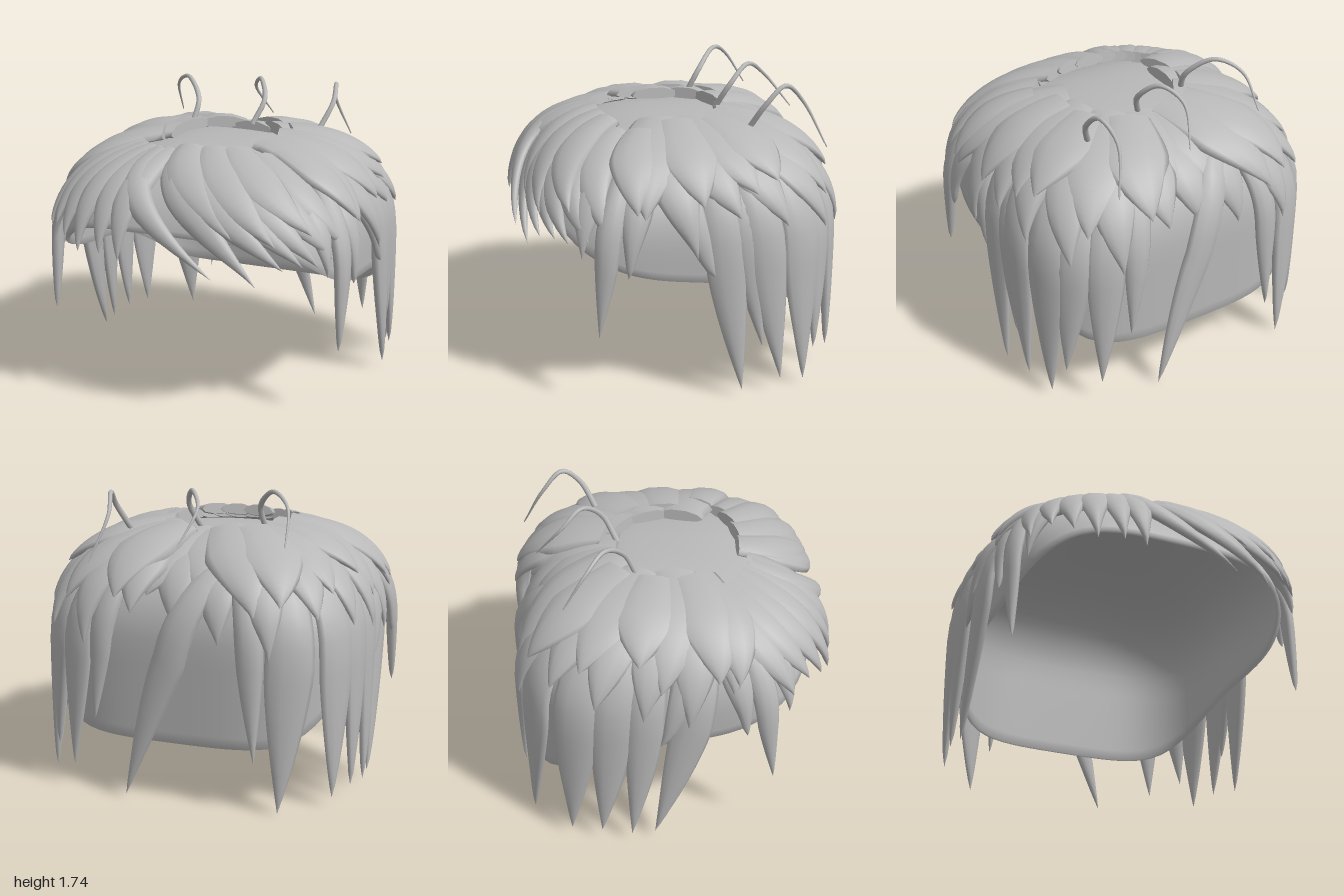
import * as THREE from 'three';

const RAD = Math.PI / 180, MID = 0.85, DOME = 0.61;
const V = (x, y, z) => new THREE.Vector3(x, y, z);

// Head surface: a = degrees around (0 front, 90 = +x), v = 0 crown, 1 widest, >1 straight down
function head(a, v, lift = 0) {
  const s = Math.sin(a * RAD), c = Math.cos(a * RAD);
  const n = 2.3 + 1.2 * Math.min(v, 1); // squarer towards the rim
  const k = Math.pow(Math.abs(s) ** n + Math.abs(c) ** n, -1 / n);
  const phi = Math.min(v, 1) * Math.PI / 2;
  const r = k * Math.pow(Math.sin(phi), 0.8);
  const y = v < 1 ? MID + (DOME + lift) * Math.pow(Math.max(Math.cos(phi), 0), 0.8) : MID - (v - 1);
  return V((0.885 + lift) * r * s, y, (0.86 + lift) * r * c - 0.01);
}
// v at a given height
function vAt(y) {
  if (y < MID) return 1 + MID - y;
  return Math.acos(Math.min(1, Math.pow((y - MID) / DOME, 1.25))) / (Math.PI / 2);
}

// Skin over closed rings of points
function loft(rings) {
  const n = rings[0].length, pos = [], idx = [];
  rings.forEach(ring => ring.forEach(p => pos.push(p.x, p.y, p.z)));
  for (let i = 0; i < rings.length - 1; i++) {
    for (let j = 0; j < n; j++) {
      const a = i * n + j, b = i * n + (j + 1) % n;
      idx.push(a, b, a + n, b, b + n, a + n);
    }
  }
  const g = new THREE.BufferGeometry();
  g.setAttribute('position', new THREE.Float32BufferAttribute(pos, 3));
  g.setIndex(idx);
  g.computeVertexNormals();
  return g;
}

// Thin-walled cap, rim sweeping smoothly from a high brow to a low nape
function capGeometry() {
  const rings = [], rows = 24, cols = 96;
  const ring = (t, lift) => Array.from({ length: cols }, (_, j) => {
    const a = -j * 360 / cols, z = head(a, 1).z;
    const d = 0.115 * z + 0.56 * z ** 3;
    const rim = 0.71 + d / Math.pow(1 + Math.pow(Math.abs(d) / 0.39, 6), 1 / 6);
    return head(a, vAt(rim) * t, lift);
  });
  for (let i = 0; i <= rows; i++) rings.push(ring(i / rows, 0));
  for (let i = rows; i >= 0; i--) rings.push(ring(i / rows, -0.02));
  return loft(rings);
}

// Pointed lock lying on the head: blunt root, lens section, tapering tip
function lockGeometry([a0, a1, v0, tipY, width, lift = 0.04, flare = 0.025, bend = 1.3]) {
  const v1 = vAt(tipY), steps = 18, sides = 10, rings = [];
  const angle = s => a0 + (a1 - a0) * Math.pow(s, bend);
  const at = s => head(angle(s), v0 + (v1 - v0) * s, lift + flare * s);
  for (let i = 0; i <= steps; i++) {
    const s = i / steps, p = at(s), a = angle(s), v = v0 + (v1 - v0) * s;
    const t = at(Math.min(s + 0.01, 1)).sub(at(Math.max(s - 0.01, 0))).normalize();
    const n = head(a, v + 0.01).sub(head(a, v - 0.01)).cross(head(a + 1, v).sub(head(a - 1, v))).normalize();
    if (n.dot(V(p.x, Math.max(p.y - MID, 0), p.z)) < 0) n.negate();
    const side = n.clone().cross(t).normalize();
    const f = s < 0.4 ? 0.75 + 0.25 * Math.sin(s / 0.4 * Math.PI / 2) : 1 - Math.pow((s - 0.4) / 0.6, 1.4);
    const w = width * f, h = 0.04 * Math.sqrt(Math.max(f, 0));
    const ring = Array.from({ length: sides }, (_, j) => {
      const q = j / sides * Math.PI * 2, c = Math.cos(q);
      return p.clone().addScaledVector(side, w * c)
        .addScaledVector(n, h * Math.sin(q) - 0.6 * (w * c) ** 2);
    });
    if (i === 0) rings.push(ring.map(() => p.clone()), ring.map(r => r.clone()));
    rings.push(ring);
  }
  return loft(rings);
}

// Thin curling hair, tapering from root to tip
function curlGeometry(points) {
  const curve = new THREE.CatmullRomCurve3(points.map(p => V(...p)));
  const steps = 32, rings = [], frames = curve.computeFrenetFrames(steps);
  for (let i = 0; i <= steps; i++) {
    const p = curve.getPointAt(i / steps), r = 0.018 * (1 - 0.8 * (i / steps) ** 1.5);
    rings.push(Array.from({ length: 8 }, (_, j) => p.clone()
      .addScaledVector(frames.normals[i], r * Math.cos(j * Math.PI / 4))
      .addScaledVector(frames.binormals[i], r * Math.sin(j * Math.PI / 4))));
  }
  return loft(rings);
}

export function createModel() {
  const model = new THREE.Group();
  model.name = 'hair';
  const grey = new THREE.MeshStandardMaterial({ color: 0xb8b8b8, side: THREE.DoubleSide });
  grey.name = 'hairGrey';
  const add = (name, geometry, parent = model) => {
    const m = new THREE.Mesh(geometry, grey);
    m.name = name;
    parent.add(m);
  };
  const locks = (name, list) => {
    const g = new THREE.Group();
    g.name = name + 's';
    list.forEach(l => add(name, lockGeometry(l), g));
    model.add(g);
  };

  add('cap', capGeometry());

  // Fringe, parted near the middle: root angle, tip angle, root v, tip height, half width, lift, flare, bend
  locks('fringeLock', [
    [-24, 17, 0.3, 0.89, 0.09, 0.055, 0.04, 2], [-8, 30, 0.3, 0.87, 0.11, 0.05, 0.03],
    [0, 38, 0.28, 0.95, 0.12, 0.05, 0.03], [12, 44, 0.28, 0.96, 0.12, 0.045],
    [22, 49, 0.28, 0.95, 0.12, 0.045], [32, 55, 0.28, 0.97, 0.12, 0.04],
    [44, 61, 0.28, 1.0, 0.12, 0.04],
    [-6, 24, 0.24, 1.08, 0.13, 0.06], [12, 36, 0.24, 1.06, 0.14, 0.06], [28, 48, 0.24, 1.1, 0.14, 0.06],
    [-20, -16, 0.28, 0.92, 0.11, 0.05, 0.04], [-28, -23, 0.28, 0.94, 0.11, 0.045, 0.04],
    [-36, -31, 0.28, 0.93, 0.11, 0.045, 0.04], [-45, -38, 0.28, 0.98, 0.12, 0.04, 0.04],
    [-54, -45, 0.28, 1.02, 0.12, 0.04, 0.04], [-62, -52, 0.28, 0.98, 0.12, 0.04, 0.04],
  ]);

  // Side locks around the ears, mirrored
  const sides = [];
  for (const m of [1, -1]) {
    sides.push(
      [m * 62, m * 58, 0.5, 0.42, 0.075, 0.045], [m * 70, m * 67, 0.55, 0.78, 0.085, 0.04],
      [m * 52, m * 53, 0.45, 0.88, 0.1, 0.035], [m * 78, m * 97, 0.4, 0.74, 0.12, 0.04],
      [m * 64, m * 70, 0.28, 1.1, 0.15, 0.055, 0.05]);
  }
  locks('sideLock', sides);

  // Long hanging locks, leaving the middle of the nape bare
  locks('longLock', [
    [98, 106, 0.5, 0.04, 0.12], [106, 113, 0.55, 0.3, 0.1, 0.03], [112, 119, 0.5, 0.08, 0.12, 0.045],
    [126, 128, 0.5, 0.03, 0.13, 0.04], [136, 133, 0.55, 0.2, 0.11, 0.035],
    [146, 144, 0.5, 0.13, 0.11, 0.04], [156, 153, 0.5, 0.45, 0.08],
    [-80, -99, 0.5, 0.05, 0.12, 0.03], [-100, -107, 0.5, 0.05, 0.11, 0.045],
    [-111, -117, 0.5, 0.07, 0.13], [-124, -127, 0.5, 0.05, 0.14, 0.04],
    [-140, -145, 0.5, 0.0, 0.14, 0.04],
    [-154, -152, 0.5, 0.28, 0.08], [-160, -197, 0.5, 0.01, 0.1, 0.03, 0.02, 0.6],
  ]);

  // Two overlapping crown layers around the bare top
  const crown = [];
  for (let i = 0; i < 14; i++) {
    const a = 72 + i * 16.6, fan = (a - 180) * 0.04;
    const nape = Math.abs(a - 180) < 14;
    crown.push([a, a - fan + (i % 3 - 1) * 4, 0.16 + (i % 2) * 0.04, 1.08 + (i * 5 % 4) * 0.04,
      0.2, nape ? 0.02 : 0.04 + (i % 2) * 0.015, nape ? 0.01 : 0.055]);
    crown.push([a + 7, a + 9 - fan * 2, 0.36, 0.88 + (i * 3 % 4) * 0.06, 0.14,
      nape ? 0.015 : 0.04, nape ? 0.01 : 0.05]);
  }
  locks('crownLock', crown);

  // Three stray curls on top
  [
    [[-0.31, 1.48, -0.2], [-0.3, 1.62, -0.27], [-0.42, 1.73, -0.39], [-0.54, 1.66, -0.5], [-0.57, 1.46, -0.63]],
    [[0.05, 1.48, -0.3], [0.1, 1.63, -0.38], [0.03, 1.73, -0.5], [-0.05, 1.65, -0.62], [0.01, 1.45, -0.78]],
    [[0.45, 1.46, -0.41], [0.51, 1.62, -0.5], [0.49, 1.71, -0.61], [0.45, 1.6, -0.73], [0.52, 1.34, -0.86]],
  ].forEach(points => add('strayCurl', curlGeometry(points)));

  return model;
}
